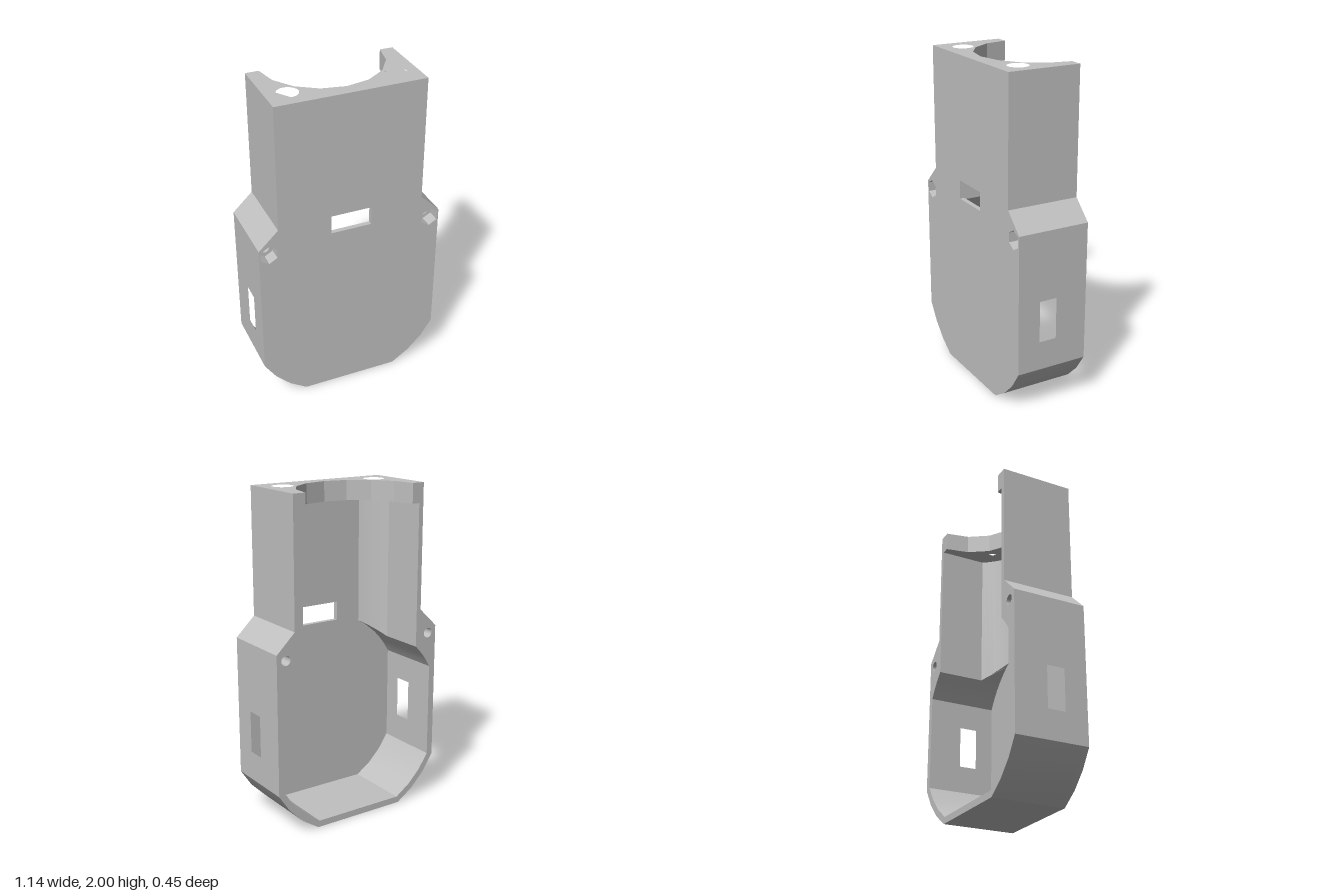
import * as THREE from 'three';
import { toCreasedNormals } from 'three/addons/utils/BufferGeometryUtils.js';

const BACK = -0.225, FLOOR = 0.195, FRONT = 0.225;   // depth planes
const CY = 0.57, R_OUT = 0.645, R_IN = 0.605;        // rounding of the wide lower body
const NECK_TOP = 1.88;

const pts = (list) => list.map(([x, y]) => new THREE.Vector2(x, y));

// points on a circle between two angles
function arc(cx, cy, r, a0, a1, n) {
  const out = [];
  for (let i = 0; i <= n; i++) {
    const a = a0 + ((a1 - a0) * i) / n;
    out.push([cx + r * Math.cos(a), cy + r * Math.sin(a)]);
  }
  return out;
}
const circle = (x, y, r, n = 24, turn = 0) => arc(x, y, r, turn, turn + 2 * Math.PI, n).slice(0, n);
const rect = (x0, y0, x1, y1) => [[x0, y0], [x1, y0], [x1, y1], [x0, y1]];

function extrude(outline, holes, depth) {
  const shape = new THREE.Shape(pts(outline));
  shape.holes = holes.map((h) => new THREE.Path(pts(h)));
  return new THREE.ExtrudeGeometry(shape, { depth, bevelEnabled: false });
}
// slab between two z planes
const slabZ = (outline, holes, z0, z1) => extrude(outline, holes, z1 - z0).translate(0, 0, z0);
// slab between two heights; points are [x, z]
const slabY = (outline, holes, y0, y1) => {
  const flip = (l) => l.map(([x, z]) => [x, -z]);
  return extrude(flip(outline), holes.map(flip), y1 - y0).rotateX(-Math.PI / 2).translate(0, y0, 0);
};
// slab between two x planes; points are [z, y]
const slabX = (outline, holes, x0, x1) => {
  const flip = (l) => l.map(([z, y]) => [-z, y]);
  return extrude(flip(outline), holes.map(flip), x1 - x0).rotateY(Math.PI / 2).translate(x0, 0, 0);
};

export function createModel() {
  const group = new THREE.Group();
  group.name = 'enclosureHalf';
  const plastic = new THREE.MeshStandardMaterial({ color: 0xc0c0c0 });
  plastic.name = 'grey plastic';
  const add = (name, geometry) => {
    const mesh = new THREE.Mesh(toCreasedNormals(geometry, 0.35), plastic);
    mesh.name = name;
    group.add(mesh);
  };
  const mirror = (list, s) => list.map(([x, y]) => [x * s, y]);

  // rounded lower corner, running from the side wall down to the flat bottom
  const lowerCorner = (r, halfW, bottom) =>
    arc(0, CY, r, -Math.acos(halfW / r), -Math.asin((CY - bottom) / r), 3);
  const outer = lowerCorner(R_OUT, 0.57, 0);
  const inner = lowerCorner(R_IN, 0.53, 0.04);
  const seam = inner[0][1];
  const cavityY = (x) => CY + Math.sqrt(R_IN * R_IN - x * x);
  const shoulderY = cavityY(0.53);

  const hex = (s) => circle(0.51 * s, 1.08, 0.058, 6, Math.PI / 2);
  const bolt = (s) => circle(0.51 * s, 1.08, 0.03);

  // front plate with centre slot and nut recesses
  const half = [...outer.slice().reverse(), [0.57, 1.12], [0.45, 1.235], [0.45, NECK_TOP]];
  const outline = [...half, ...mirror(half, -1).reverse()];
  add('frontPlate', slabZ(outline, [rect(-0.125, 1.13, 0.125, 1.245), hex(1), hex(-1)], FLOOR, FRONT));

  // bottom wall
  const outerU = [[0.57, seam], ...outer];
  add('bottomWall', slabZ([
    ...outerU, ...mirror(outerU, -1).reverse(),
    ...mirror(inner, -1), ...inner.slice().reverse(),
  ], [], BACK, FLOOR));

  // side wall, shoulder and neck wall on each side
  const a0 = Math.acos(0.42 / R_IN), a1 = Math.acos(0.53 / R_IN);
  const shoulder = [
    [0.57, shoulderY], [0.57, 1.12], [0.45, 1.235], [0.45, NECK_TOP], [0.42, NECK_TOP],
    ...arc(0, CY, R_IN, a0, a1, 4),
  ];
  // neck corner filler, [x, z], rounded about the back plane
  const rNeck = 0.51;
  const filler = [
    ...arc(0, BACK, rNeck, Math.acos(0.42 / rNeck), Math.asin((FLOOR - BACK) / rNeck), 6),
    [0.315, FLOOR], [0.35, FLOOR], [0.385, FLOOR], [0.42, FLOOR],
  ];
  for (const s of [1, -1]) {
    const side = s > 0 ? 'left' : 'right';
    const xs = s > 0 ? [0.53, 0.57] : [-0.57, -0.53];
    add(side + 'SideWall', slabX(rect(BACK, seam, FLOOR, shoulderY),
      [rect(-0.025, 0.445, 0.085, 0.7)], ...xs));
    add(side + 'Shoulder', slabZ(mirror(shoulder, s), [bolt(s)], BACK, 0.145));
    add(side + 'NutSeat', slabZ(mirror(shoulder, s), [hex(s)], 0.145, FLOOR));

    // the filler's lower end follows the round lower cavity
    const geo = slabY(mirror(filler, s), [], 1, NECK_TOP);
    const p = geo.attributes.position;
    for (let i = 0; i < p.count; i++) {
      if (p.getY(i) < 1.5) p.setY(i, cavityY(p.getX(i)));
    }
    add(side + 'NeckCorner', geo);
  }

  // top wall with half-round opening and counterbored screw holes
  const topShape = [
    [0.45, BACK], [0.45, FRONT], [-0.45, FRONT], [-0.45, BACK],
    ...arc(0, BACK, 0.37, Math.PI, 0, 8),
  ];
  const screwHoles = (r) => [circle(0.32, 0.09, r), circle(-0.32, 0.09, r)];
  add('topWallLower', slabY(topShape, screwHoles(0.037), NECK_TOP, 1.93));
  add('topWallUpper', slabY(topShape, screwHoles(0.063), 1.93, 2));

  return group;
}
